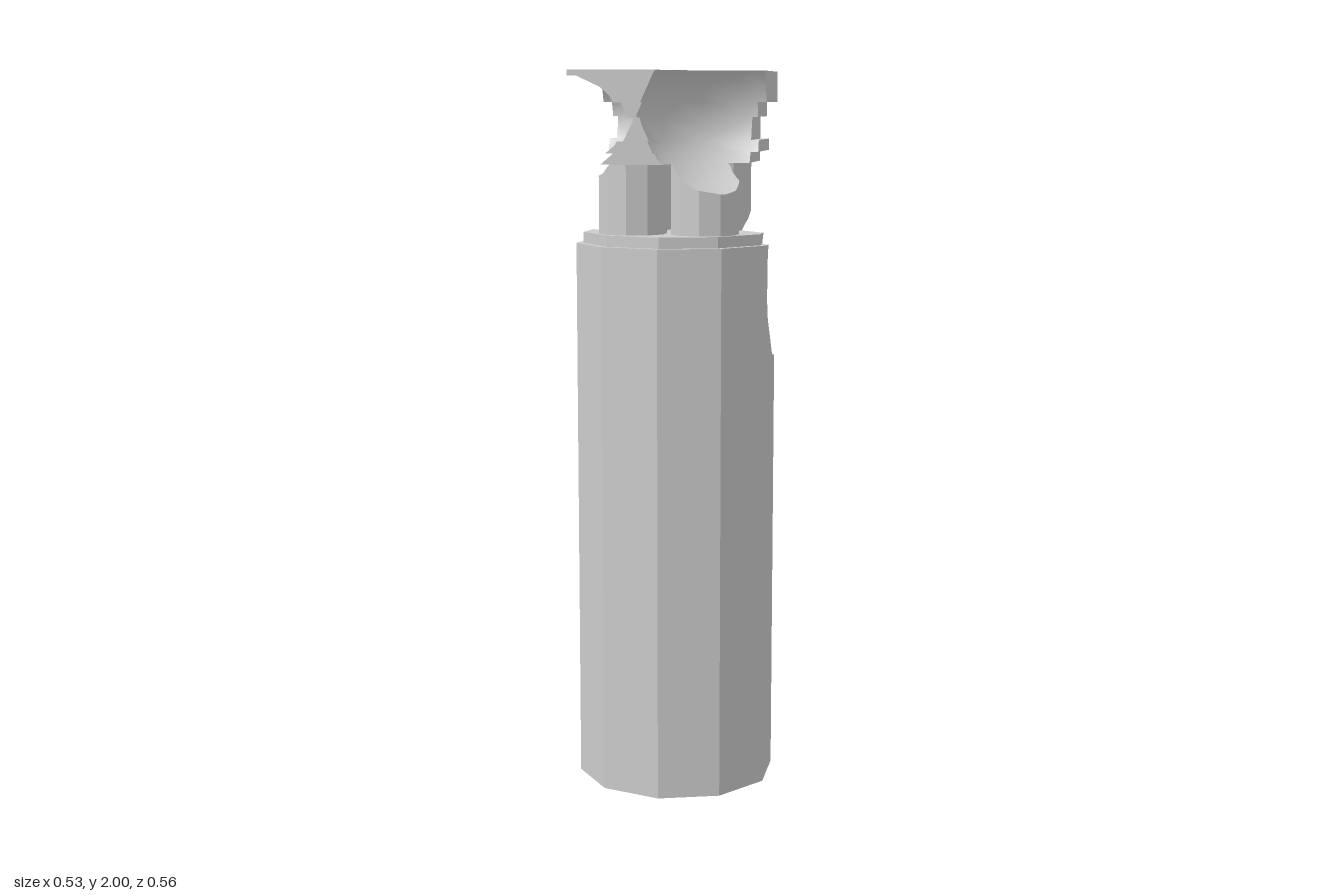
import * as THREE from 'three';

const EPS = 1e-6;
const stone = new THREE.MeshStandardMaterial({ color: 0xcccccc });

// Triangles of a convex geometry, each with its outward plane
function facesOf(geometry) {
  const pos = (geometry.index ? geometry.toNonIndexed() : geometry).attributes.position;
  const faces = [];
  for (let i = 0; i < pos.count; i += 3) {
    const pts = [0, 1, 2].map((k) => new THREE.Vector3().fromBufferAttribute(pos, i + k));
    const plane = new THREE.Plane().setFromCoplanarPoints(...pts);
    if (plane.normal.lengthSq() > 0.5) faces.push({ pts, plane });
  }
  return faces;
}

// Split a convex polygon by a plane into [behind, in front]
function split(pts, plane) {
  const d = pts.map((p) => plane.distanceToPoint(p));
  if (d.every((v) => v <= EPS)) return [pts, null];
  if (d.every((v) => v >= -EPS)) return [null, pts];
  const back = [], front = [];
  pts.forEach((p, i) => {
    const j = (i + 1) % pts.length;
    if (d[i] <= EPS) back.push(p);
    if (d[i] >= -EPS) front.push(p);
    if ((d[i] > EPS && d[j] < -EPS) || (d[i] < -EPS && d[j] > EPS)) {
      const cut = p.clone().lerp(pts[j], d[i] / (d[i] - d[j]));
      back.push(cut);
      front.push(cut);
    }
  });
  return [back, front];
}

// Part of a polygon inside a convex solid, and the pieces outside it
function divide(pts, solid) {
  const outside = [];
  let inside = pts;
  for (const { plane } of solid) {
    const [back, front] = split(inside, plane);
    if (!back) return { inside: null, outside: [pts] };
    if (front) outside.push(front);
    inside = back;
  }
  return { inside, outside };
}

// A faceted, smooth-shaded hollow broken out of the stone
function bite(x, y, z, rx, ry, rz, turn = 0) {
  const geometry = new THREE.IcosahedronGeometry(1.04, 1);
  geometry.scale(rx, ry, rz).rotateY(turn).translate(x, y, z);
  const centre = new THREE.Vector3(x, y, z);
  const up = new THREE.Vector3(0, 1, 0);
  const normalAt = (p) => {
    const n = p.clone().sub(centre).applyAxisAngle(up, -turn);
    n.set(-n.x / rx ** 2, -n.y / ry ** 2, -n.z / rz ** 2);
    return n.applyAxisAngle(up, turn).normalize();
  };
  return { faces: facesOf(geometry), normalAt };
}

const bites = [
  bite(0.21, 1.88, 0.232, 0.265, 0.22, 0.265),         // front corner of the capital
  bite(-0.25, 1.87, 0.067, 0.2, 0.17, 0.26),           // side of the capital
  bite(0.35, 1.425, -0.185, 0.255, 0.25, 0.275),       // shaft shoulder
  bite(-0.21, 1.545, -0.208, 0.18, 0.17, 0.182),       // back shoulder
  bite(-0.212, 0.69, -0.168, 0.39, 0.24, 0.135, 0.95), // middle of the shaft
];

// Convex block of stone with all the hollows taken out
function brokenMesh(name, geometry) {
  const solid = facesOf(geometry);
  const position = [], normal = [];
  const emit = (pts, normalAt) => {
    for (let i = 1; i < pts.length - 1; i++) {
      for (const p of [pts[0], pts[i], pts[i + 1]]) {
        position.push(p.x, p.y, p.z);
        normal.push(...normalAt(p).toArray());
      }
    }
  };
  const outsideBites = (pts, skip) => bites.reduce((pieces, b) => (
    b === skip ? pieces : pieces.flatMap((piece) => divide(piece, b.faces).outside)
  ), [pts]);

  for (const { pts, plane } of solid) {
    outsideBites(pts).forEach((piece) => emit(piece, () => plane.normal));
  }
  for (const b of bites) {
    for (const { pts } of b.faces) {
      const { inside } = divide(pts, solid);
      if (!inside) continue;
      outsideBites(inside, b).forEach((piece) => emit([...piece].reverse(), b.normalAt));
    }
  }
  const out = new THREE.BufferGeometry();
  out.setAttribute('position', new THREE.Float32BufferAttribute(position, 3));
  out.setAttribute('normal', new THREE.Float32BufferAttribute(normal, 3));
  const mesh = new THREE.Mesh(out, stone);
  mesh.name = name;
  return mesh;
}

// Ten-sided drum standing between two heights
function drum(radius, y0, y1, x = 0, z = 0) {
  return new THREE.CylinderGeometry(radius, radius, y1 - y0, 10).translate(x, (y0 + y1) / 2, z);
}

export function createModel() {
  const model = new THREE.Group();
  model.name = 'brokenColumn';

  model.add(brokenMesh('shaft', drum(0.28, 0, 1.53)));
  model.add(brokenMesh('collar', drum(0.26, 1.53, 1.56)));

  // Four small pillars carrying the capital
  const pillars = new THREE.Group();
  pillars.name = 'pillars';
  for (const x of [-0.1, 0.1]) {
    for (const z of [-0.108, 0.11]) {
      pillars.add(brokenMesh('pillar', drum(0.094, 1.56, 1.75, x, z)));
    }
  }
  model.add(pillars);

  // Stepped square capital: bottom, top, half width
  const capital = new THREE.Group();
  capital.name = 'capital';
  const steps = [
    [1.75, 1.78, 0.206],
    [1.78, 1.812, 0.228],
    [1.812, 1.875, 0.206],
    [1.875, 1.915, 0.222],
    [1.915, 2, 0.248],
  ];
  for (const [y0, y1, half] of steps) {
    const slab = new THREE.BoxGeometry(half * 2, y1 - y0, half * 2);
    capital.add(brokenMesh('capitalStep', slab.translate(0, (y0 + y1) / 2, 0.008)));
  }
  model.add(capital);
  return model;
}
